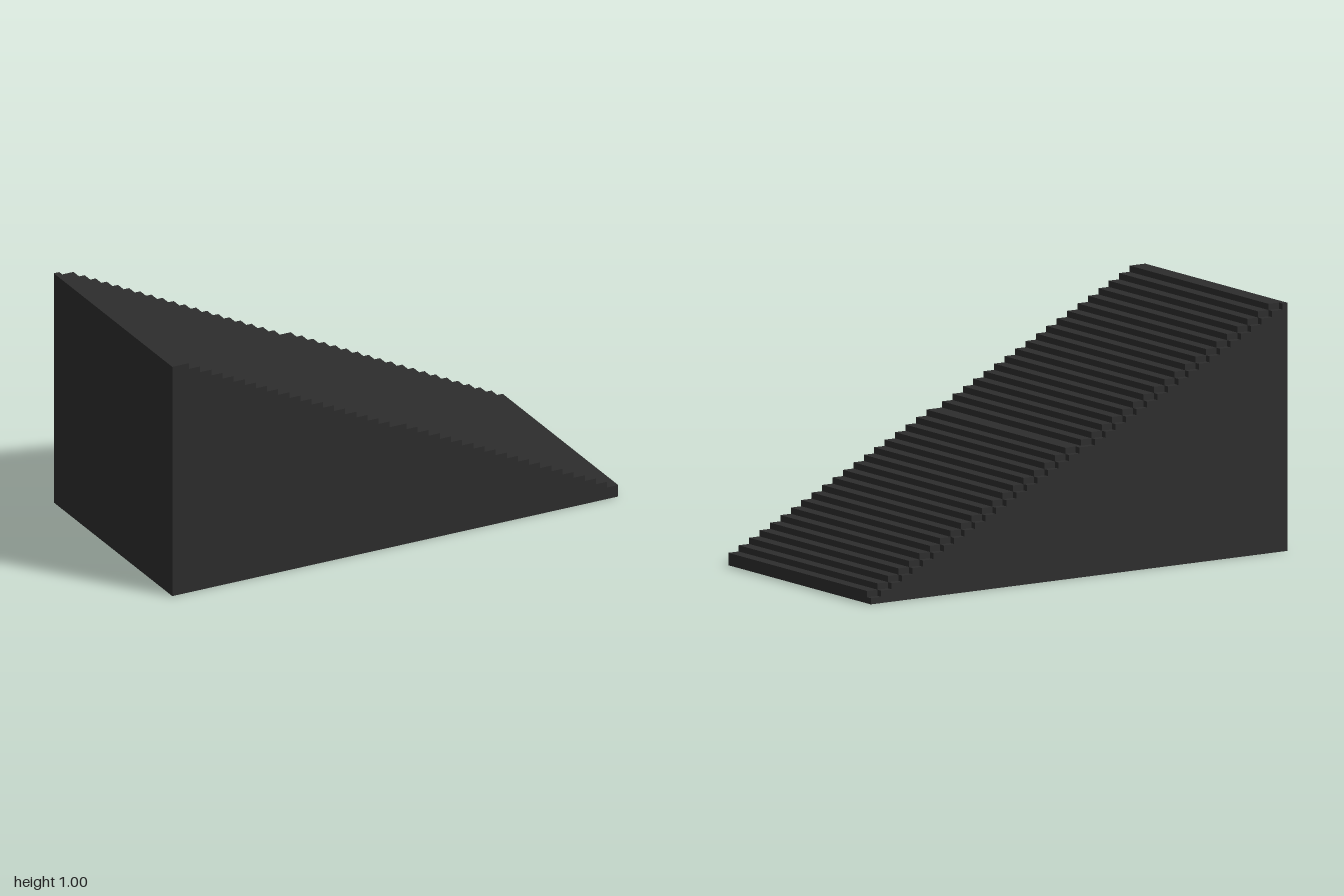
import * as THREE from 'three';

const RISE = 0.025;
const RUN = 0.05;

// Right-hand edge of the tread at level k; the upper flight starts half a tread further left.
const treadEnd = (k) => 1 - RUN * (k - 2) - (k > 21 ? RISE : 0);

// Solid stepped wedge between two depths, with its treads shifted along x.
function steppedWedge(name, material, shift, lowest, zBack, zFront) {
  const shape = new THREE.Shape();
  shape.moveTo(-1, 0);
  shape.lineTo(1, 0);
  for (let k = lowest; k <= 40; k++) {
    const x = treadEnd(k) + shift;
    shape.lineTo(x, k * RISE);
    if (k < 40) shape.lineTo(treadEnd(k + 1) + shift, k * RISE);
  }
  shape.lineTo(-1, 1);
  const geometry = new THREE.ExtrudeGeometry(shape, { depth: zFront - zBack, bevelEnabled: false });
  geometry.translate(0, 0, zBack);
  const mesh = new THREE.Mesh(geometry, material);
  mesh.name = name;
  return mesh;
}

export function createModel() {
  const group = new THREE.Group();
  group.name = 'steppedRamp';
  const charcoal = new THREE.MeshStandardMaterial({ color: 0x2d2d2d });
  charcoal.name = 'charcoal';

  // Main flight of ridged treads
  group.add(steppedWedge('rampBody', charcoal, 0, 2, -0.475, 0.5));
  // Narrow rear border, one tread lower
  group.add(steppedWedge('rearBorder', charcoal, -RUN, 1, -0.5, -0.475));
  return group;
}
